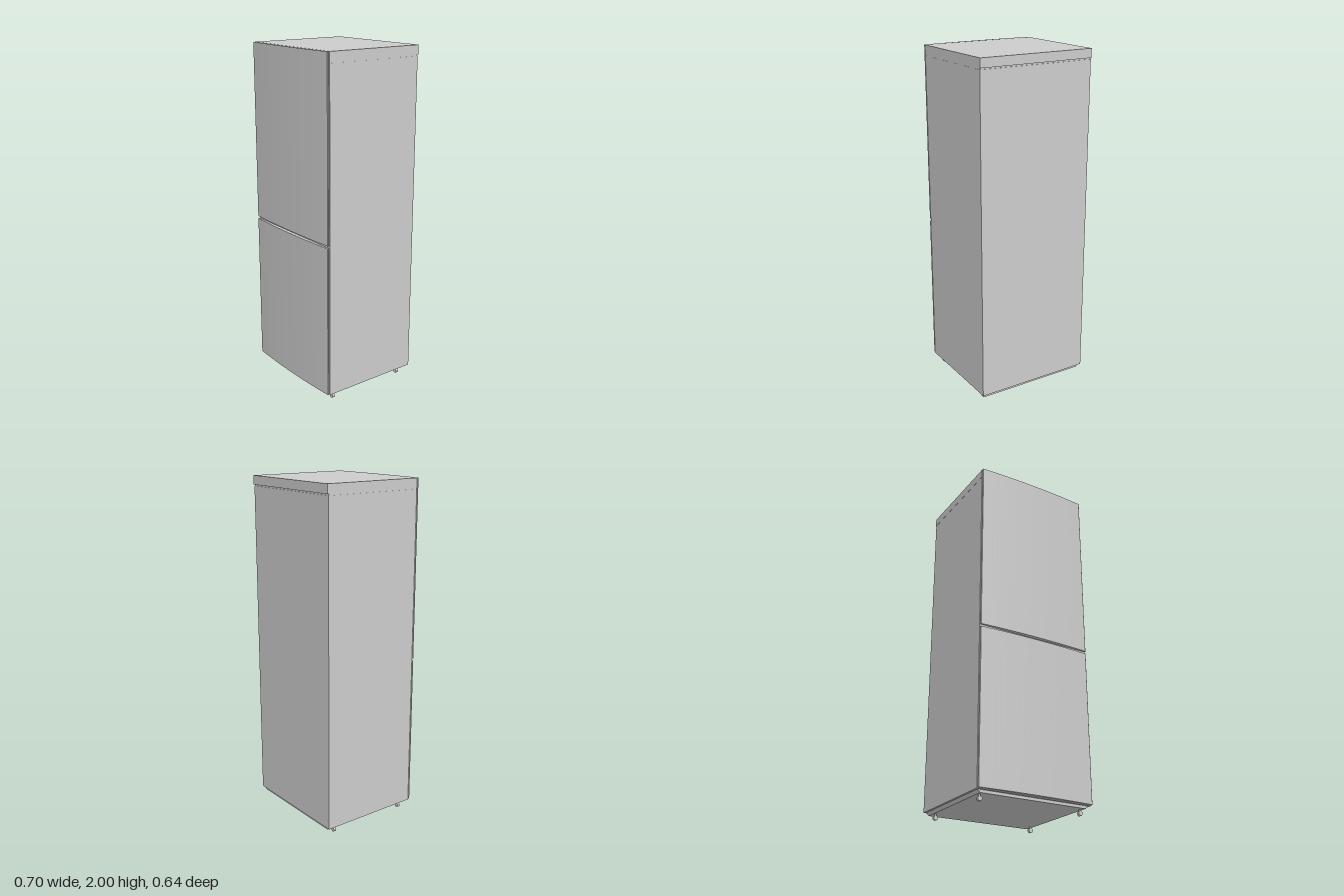
import * as THREE from 'three';

const HALF_W = 0.352;

export function createModel() {
  const model = new THREE.Group();
  const grey = new THREE.MeshStandardMaterial({ color: 0xcccccc });

  const add = (name, geometry, x = 0, y = 0, z = 0) => {
    const mesh = new THREE.Mesh(geometry, grey);
    mesh.name = name;
    mesh.position.set(x, y, z);
    model.add(mesh);
    return mesh;
  };

  // Box given by its lower and upper limits
  const box = (name, halfW, y0, y1, z0, z1) =>
    add(name, new THREE.BoxGeometry(halfW * 2, y1 - y0, z1 - z0), 0, (y0 + y1) / 2, (z0 + z1) / 2);

  // Door: plan outline with a gently bowed front, extruded upwards
  const door = (name, y0, y1) => {
    const back = 0.298, edge = 0.308, bow = 0.012, r = 0.003;
    const plan = new THREE.Shape();
    plan.moveTo(-HALF_W + r, -back);
    plan.lineTo(HALF_W - r, -back);
    plan.lineTo(HALF_W, -back - r);
    plan.lineTo(HALF_W, -edge + r);
    const n = 24;
    for (let i = 0; i <= n; i++) {
      const t = 1 - (2 * i) / n;
      plan.lineTo(t * (HALF_W - r), -edge - bow * (1 - t * t));
    }
    plan.lineTo(-HALF_W, -edge + r);
    plan.lineTo(-HALF_W, -back - r);
    plan.closePath();
    const geometry = new THREE.ExtrudeGeometry(plan, { depth: y1 - y0, bevelEnabled: false });
    geometry.rotateX(-Math.PI / 2);
    add(name, geometry, 0, y0, 0);
  };

  // Cabinet, with the worktop lip overhanging at the back
  box('cabinet', HALF_W, 0.05, 1.94, -0.315, 0.294);
  box('topPanel', HALF_W, 1.948, 2, -0.32, 0.294);
  box('topPanelGroove', HALF_W - 0.001, 1.94, 1.948, -0.311, 0.293);

  // Doors and the seals behind them
  door('lowerDoor', 0.053, 0.946);
  door('upperDoor', 0.961, 2);
  box('lowerSeal', HALF_W - 0.006, 0.058, 0.941, 0.294, 0.298);
  box('upperSeal', HALF_W - 0.006, 0.966, 1.995, 0.294, 0.298);

  // Plinth tapering towards the floor
  const plinth = new THREE.BoxGeometry(0.68, 0.016, 0.585);
  const p = plinth.attributes.position;
  for (let i = 0; i < p.count; i++) {
    if (p.getY(i) < 0) p.setX(i, p.getX(i) * 0.955);
  }
  plinth.computeVertexNormals();
  add('plinth', plinth, 0, 0.042, -0.0125);

  // Four small round feet, each on a short stem
  for (const x of [-0.31, 0.31]) {
    for (const z of [-0.25, 0.245]) {
      const foot = new THREE.CylinderGeometry(0.013, 0.013, 0.016, 20);
      foot.rotateX(Math.PI / 2);
      add('foot', foot, x, 0.013, z);
      add('footStem', new THREE.CylinderGeometry(0.006, 0.006, 0.018, 12), x, 0.03, z);
    }
  }
  return model;
}
